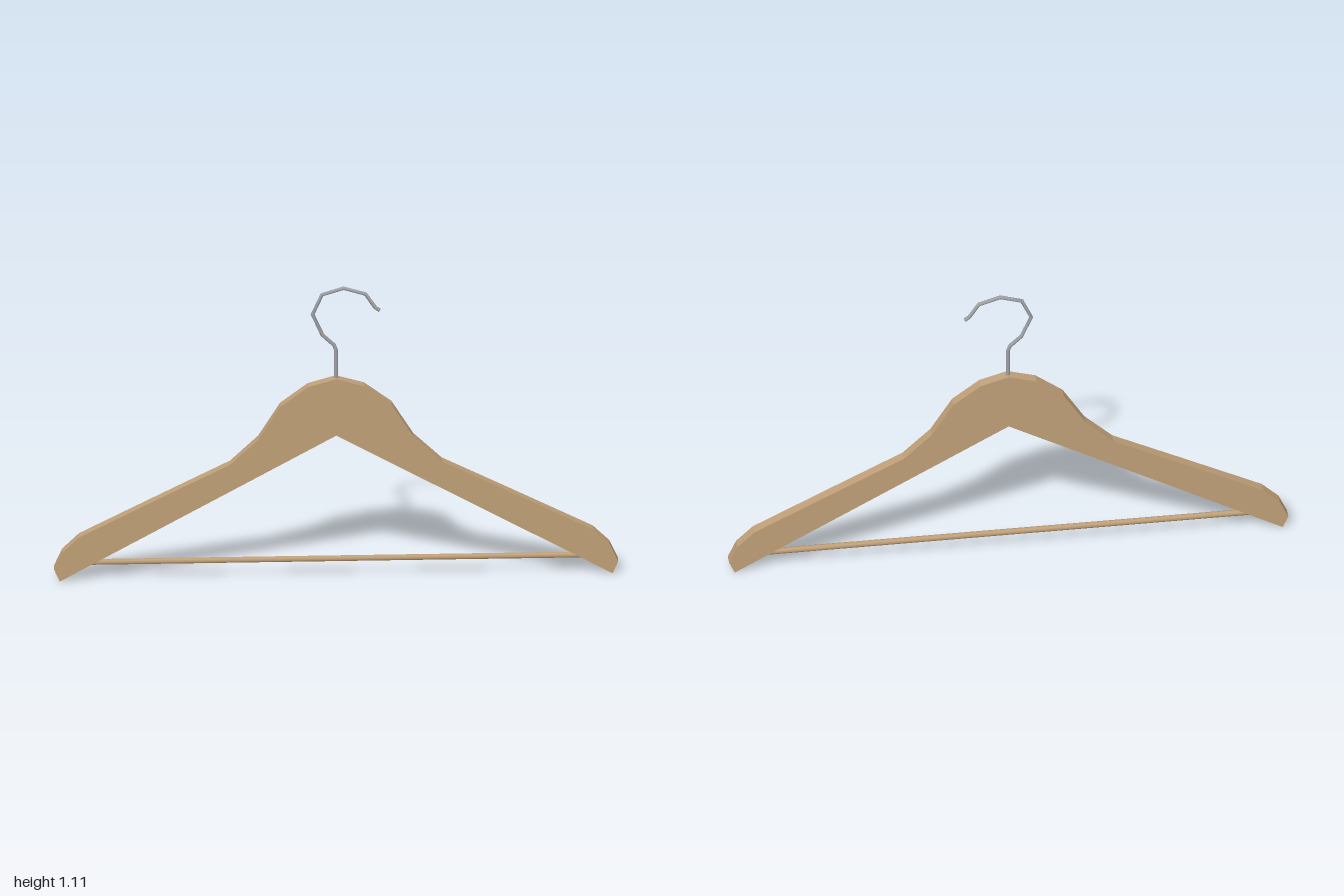
import * as THREE from 'three';

// Curve that visits each point in turn with straight spans, one tube ring per point
class Polyline extends THREE.Curve {
  constructor(points) {
    super();
    this.points = points;
  }
  getPoint(t, target = new THREE.Vector3()) {
    const s = t * (this.points.length - 1);
    const i = Math.min(Math.floor(s + 1e-6), this.points.length - 2);
    return target.lerpVectors(this.points[i], this.points[i + 1], s - i);
  }
  getPointAt(t, target) { return this.getPoint(t, target); }
  getTangentAt(t, target) { return this.getTangent(t, target); }
}

export function createModel() {
  const wood = new THREE.MeshStandardMaterial({ color: 0xc0a078 });
  wood.name = 'wood';
  const steel = new THREE.MeshStandardMaterial({ color: 0xa0a2a6 });
  steel.name = 'steel';

  const group = new THREE.Group();
  group.name = 'clothesHanger';
  const add = (name, geometry, material) => {
    const mesh = new THREE.Mesh(geometry, material);
    mesh.name = name;
    group.add(mesh);
    return mesh;
  };

  // Wooden shoulders: half outline from the crown to the arm tip, mirrored
  const half = [
    [0.1, 0.733], [0.197, 0.66], [0.275, 0.535], [0.375, 0.44], [0.61, 0.322],
    [0.91, 0.17], [0.97, 0.112], [1, 0.045], [0.98, 0],
  ];
  const outline = [
    [0, 0.762], ...half, [0, 0.545],
    ...half.map(([x, y]) => [-x, y]).reverse(),
  ].map(([x, y]) => new THREE.Vector2(x, y));
  const depth = 0.038;
  const shoulders = new THREE.ExtrudeGeometry(new THREE.Shape(outline), {
    depth, bevelEnabled: false,
  });
  shoulders.translate(0, 0, -depth / 2);
  add('shoulders', shoulders, wood);

  // Trouser bar between the arm tips
  const bar = new THREE.CylinderGeometry(0.011, 0.011, 1.8, 8);
  bar.rotateZ(Math.PI / 2);
  add('trouserBar', bar, wood).position.y = 0.066;

  // Bent wire hook
  const wireRadius = 0.007;
  const points = [
    [0, 0.74], [0, 0.865], [-0.006, 0.885], [-0.048, 0.925], [-0.083, 1.005],
    [-0.05, 1.08], [0.027, 1.104], [0.105, 1.08], [0.139, 1.028], [0.155, 1.017],
  ].map(([x, y]) => new THREE.Vector3(x, y, 0));
  const path = new Polyline(points);
  add('hook', new THREE.TubeGeometry(path, points.length - 1, wireRadius, 8), steel);

  // Flat end of the wire
  const tip = add('hookTip', new THREE.CircleGeometry(wireRadius, 8), steel);
  tip.position.copy(points[points.length - 1]);
  tip.quaternion.setFromUnitVectors(new THREE.Vector3(0, 0, 1), path.getTangent(1));

  return group;
}
